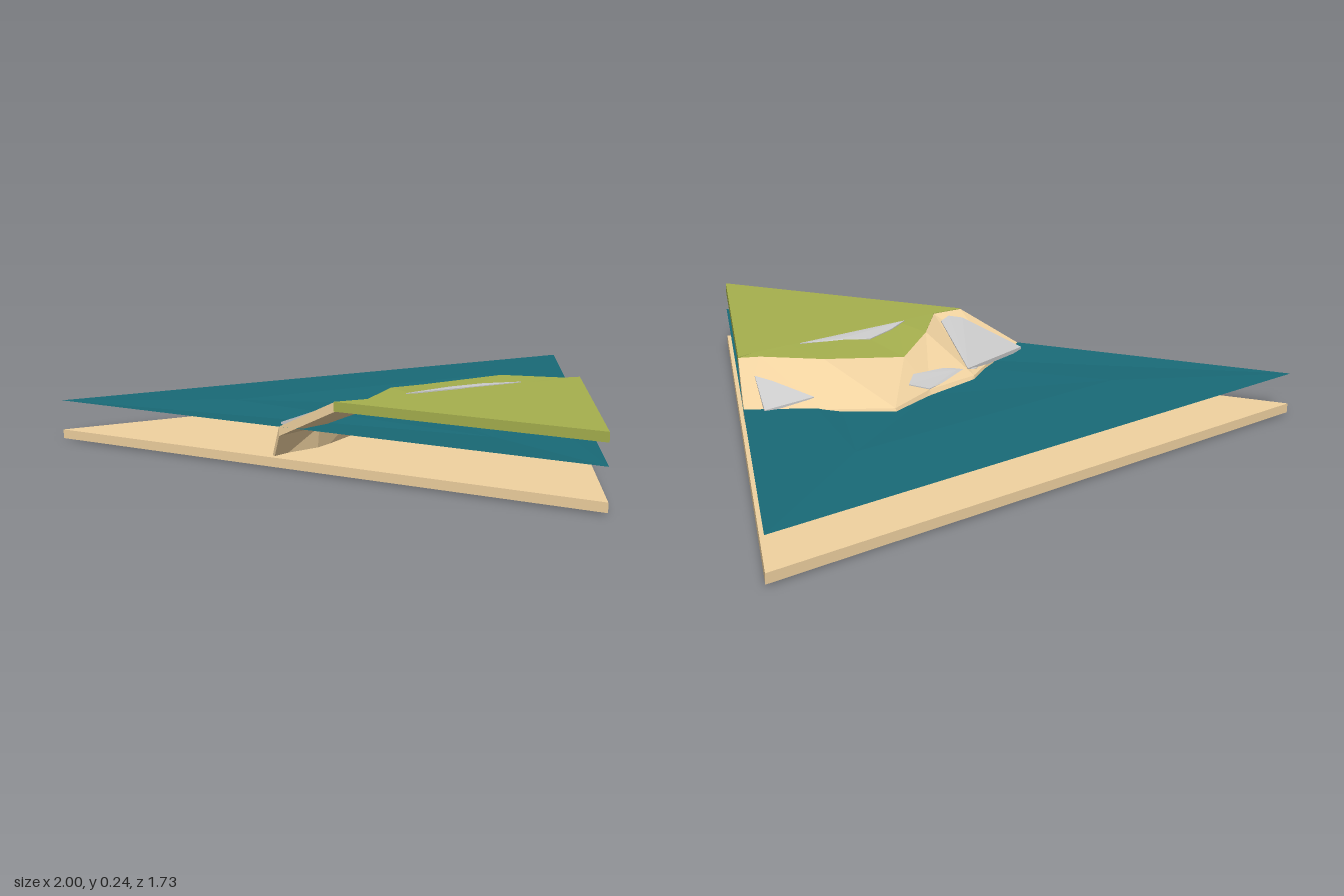
import * as THREE from 'three';
import { ConvexGeometry } from 'three/addons/geometries/ConvexGeometry.js';

const THICK = 0.03;
const V = (p) => new THREE.Vector3(p[0], p[1], p[2]);
const paint = (color, side = THREE.FrontSide) =>
  new THREE.MeshStandardMaterial({ color, side, flatShading: true });

function meshFrom(name, triangles, material) {
  const geometry = new THREE.BufferGeometry();
  const solid = triangles.filter(([a, b, c]) =>
    new THREE.Triangle(V(a), V(b), V(c)).getArea() > 1e-7);
  geometry.setAttribute('position', new THREE.Float32BufferAttribute(solid.flat(2), 3));
  geometry.computeVertexNormals();
  const mesh = new THREE.Mesh(geometry, material);
  mesh.name = name;
  return mesh;
}

// Faceted sheet given as rows running front to back, thickened straight down
function slab(name, rows, material) {
  const low = (p) => [p[0], p[1] - THICK, p[2]];
  const tris = [];
  const quad = (a, b, c, d) => tris.push([a, b, c], [a, c, d]);
  for (let i = 0; i < rows.length - 1; i++) {
    for (let j = 0; j < rows[i].length - 1; j++) {
      const [a, b, c, d] = [rows[i][j], rows[i][j + 1], rows[i + 1][j + 1], rows[i + 1][j]];
      quad(a, b, c, d);
      quad(low(d), low(c), low(b), low(a));
    }
  }
  const last = rows.length - 1;
  const loop = [
    ...rows[0],
    ...rows.slice(1, last).map((r) => r[r.length - 1]),
    ...[...rows[last]].reverse(),
    ...rows.slice(1, last).map((r) => r[0]).reverse(),
  ];
  loop.forEach((p, i) => {
    const q = loop[(i + 1) % loop.length];
    quad(low(p), low(q), q, p);
  });
  return meshFrom(name, tris, material);
}

export function createModel() {
  const group = new THREE.Group();
  group.name = 'coastTile';
  const sand = paint(0xf0d2a0);

  // Sea floor: full triangular plate
  group.add(slab('seaFloor', [
    [[0, 0.04, 0.866], [0, 0.04, 0.866]],
    [[-1, 0.04, -0.866], [1, 0.04, -0.866]],
  ], sand));

  // Contours of the coast: plateau rim, shoreline, foot of the slope
  const rim = [[-0.45, 0.235, 0.09], [-0.34, 0.235, 0.1], [-0.18, 0.235, -0.05], [0, 0.213, -0.16],
    [0.25, 0.235, -0.08], [0.39, 0.235, 0.06], [0.45, 0.235, 0.09]];
  const shore = [[-0.55, -0.09], [-0.38, -0.16], [-0.2, -0.265], [0, -0.285],
    [0.19, -0.355], [0.37, -0.23], [0.55, -0.09]].map(([x, z]) => [x, 0.14, z]);
  const foot = [[-0.55, -0.145], [-0.38, -0.18], [-0.19, -0.31], [0, -0.35],
    [0.19, -0.41], [0.37, -0.28], [0.55, -0.145]].map(([x, z]) => [x, 0.035, z]);
  const cliff = slab('sandSlope', [rim, shore, foot], sand);

  // Grass plateau: from the front corner back to the rim
  const meadow = rim.map(([x, , z]) => [x, 0.237, Math.abs(x) > 0.44 ? z : 0.1]);
  const grass = slab('grassPlateau',
    [rim.map(() => [0, 0.237, 0.866]), meadow, rim], paint(0xa6b04e));
  group.add(cliff, grass);

  // Water: thin rippled sheet over the whole tile
  const corners = [[0, 0.14, 0.866], [1, 0.14, -0.866], [-1, 0.14, -0.866]];
  const inner = [[0, 0.116, 0.28], [0.5, 0.143, -0.57], [-0.5, 0.143, -0.57]];
  const centre = [0, 0.125, -0.29];
  const water = [];
  for (let i = 0; i < 3; i++) {
    const j = (i + 1) % 3;
    water.push([corners[i], corners[j], inner[j]], [corners[i], inner[j], inner[i]],
      [inner[i], inner[j], centre]);
  }
  group.add(meshFrom('water', water, paint(0x196a77, THREE.DoubleSide)));

  // Rock outcrops: flat convex stones resting on the ground beneath them
  const ray = new THREE.Raycaster();
  const ground = (x, z) => {
    ray.set(new THREE.Vector3(x, 1, z), new THREE.Vector3(0, -1, 0));
    const hit = ray.intersectObjects([cliff, grass])[0];
    return Math.max(hit ? hit.point.y : 0, 0.14);
  };
  const outcrops = {
    leftRock: [[-0.52, -0.14], [-0.2, -0.235], [-0.25, -0.14], [-0.33, 0.05], [-0.38, 0.07], [-0.42, 0.045]],
    shoreRock: [[-0.25, -0.225], [0, -0.285], [0.07, -0.27], [0.02, -0.23], [-0.11, -0.215]],
    rightRock: [[0.36, -0.18], [0.51, -0.14], [0.45, 0], [0.42, -0.05]],
    meadowRock: [[-0.2, 0.085], [-0.11, 0.045], [0, 0.012], [0.1, 0.05], [0.22, 0.088]],
  };
  const stone = paint(0xcccccc);
  for (const [name, outline] of Object.entries(outcrops)) {
    const mid = [0, 1].map((k) => outline.reduce((s, p) => s + p[k], 0) / outline.length);
    const points = [];
    for (const [x, z] of outline) {
      const y = ground(x, z);
      points.push(new THREE.Vector3(x, y + 0.003, z), new THREE.Vector3(x, y - 0.01, z));
      const [hx, hz] = [(x + mid[0]) / 2, (z + mid[1]) / 2];
      points.push(new THREE.Vector3(hx, ground(hx, hz) + 0.004, hz));
    }
    const rock = new THREE.Mesh(new ConvexGeometry(points), stone);
    rock.name = name;
    group.add(rock);
  }
  return group;
}
